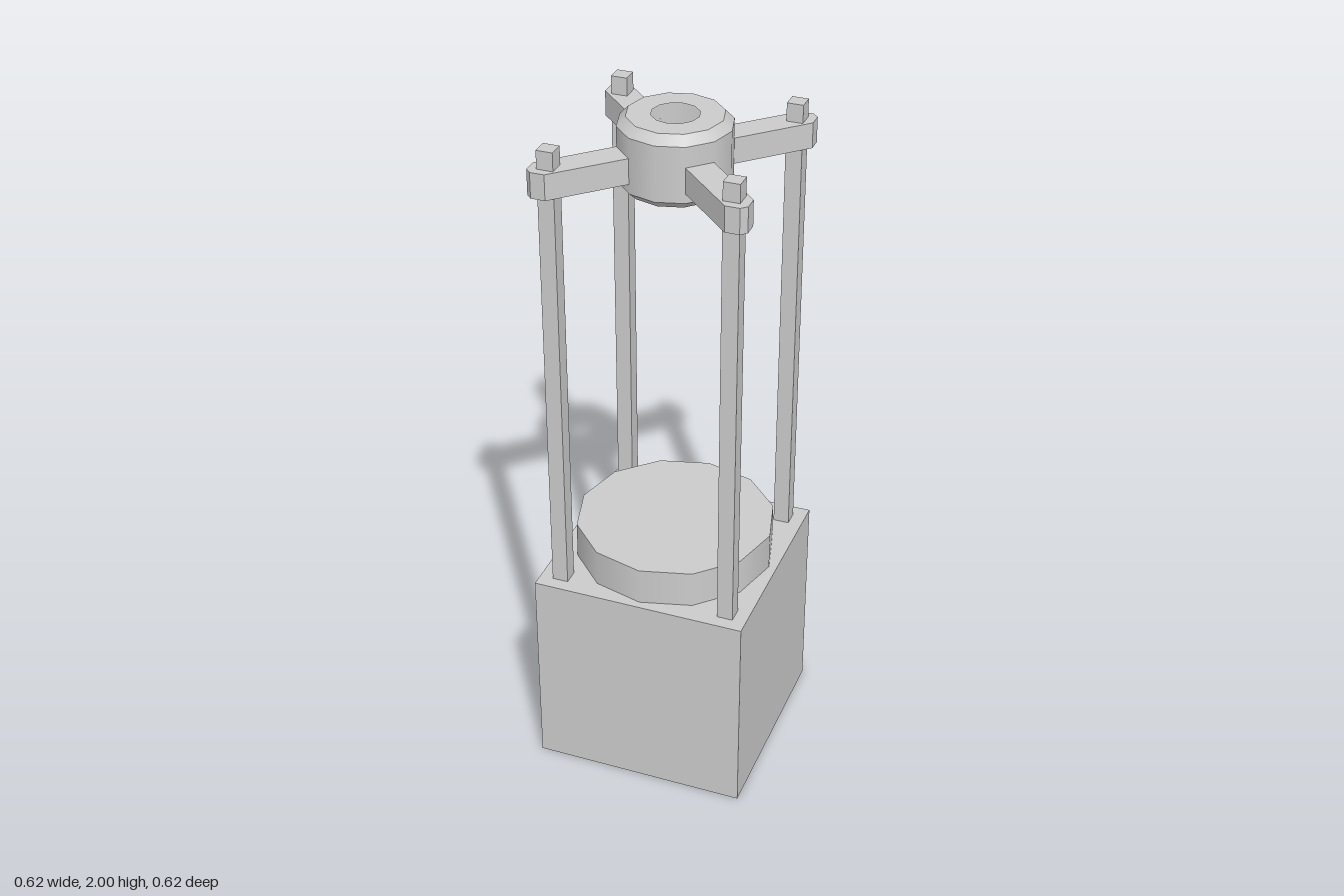
import * as THREE from 'three';

export function createModel() {
  const group = new THREE.Group();
  const material = new THREE.MeshStandardMaterial({ color: 0xcccccc, side: THREE.DoubleSide });

  const add = (name, geometry, parent = group) => {
    const mesh = new THREE.Mesh(geometry, material);
    mesh.name = name;
    parent.add(mesh);
    return mesh;
  };

  // Hollow base box, open underneath (the bottom face is dropped)
  const box = new THREE.BoxGeometry(0.624, 0.625, 0.624);
  const index = Array.from(box.index.array);
  index.splice(18, 6);
  box.setIndex(index);
  box.clearGroups();
  add('baseBox', box.translate(0, 0.3125, 0));

  // Twelve-sided disc on the base
  add('baseDisc', new THREE.CylinderGeometry(0.289, 0.289, 0.11, 12, 1, true).translate(0, 0.68, 0));
  add('baseDiscTop', new THREE.CircleGeometry(0.289, 12).rotateX(-Math.PI / 2).translate(0, 0.735, 0));

  // Hub: thin shell with chamfered edges, a hole on top and an open bottom
  const hub = new THREE.Group();
  hub.name = 'hub';
  group.add(hub);
  const band = (name, rTop, rBottom, y0, y1) =>
    add(name, new THREE.CylinderGeometry(rTop, rBottom, y1 - y0, 12, 1, true).translate(0, (y0 + y1) / 2, 0), hub);
  band('hubLowerChamfer', 0.155, 0.131, 1.795, 1.818);
  band('hubWall', 0.155, 0.155, 1.818, 1.975);
  band('hubUpperChamfer', 0.131, 0.155, 1.975, 2);
  add('hubTopRing', new THREE.RingGeometry(0.065, 0.131, 12, 1).rotateX(-Math.PI / 2).rotateY(Math.PI / 2).translate(0, 2, 0), hub);

  // Diagonal arm outline with a clipped outer end, starting at the hub wall
  const armShape = new THREE.Shape([
    [0.0775, 0.134], [0.134, 0.0775], [0.297, 0.241], [0.297, 0.281], [0.281, 0.297], [0.241, 0.297],
  ].map(([x, y]) => new THREE.Vector2(x, y)));
  const armGeometry = new THREE.ExtrudeGeometry(armShape, { depth: 0.073, bevelEnabled: false })
    .rotateX(-Math.PI / 2).translate(0, 1.845, 0);
  const postGeometry = new THREE.BoxGeometry(0.046, 1.345, 0.046).translate(0.25, 1.2975, -0.25);

  // Four posts and arms, one per corner
  for (let i = 0; i < 4; i++) {
    const corner = new THREE.Group();
    corner.name = 'cornerSupport';
    corner.rotation.y = (i * Math.PI) / 2;
    add('post', postGeometry, corner);
    add('arm', armGeometry, corner);
    group.add(corner);
  }

  return group;
}
